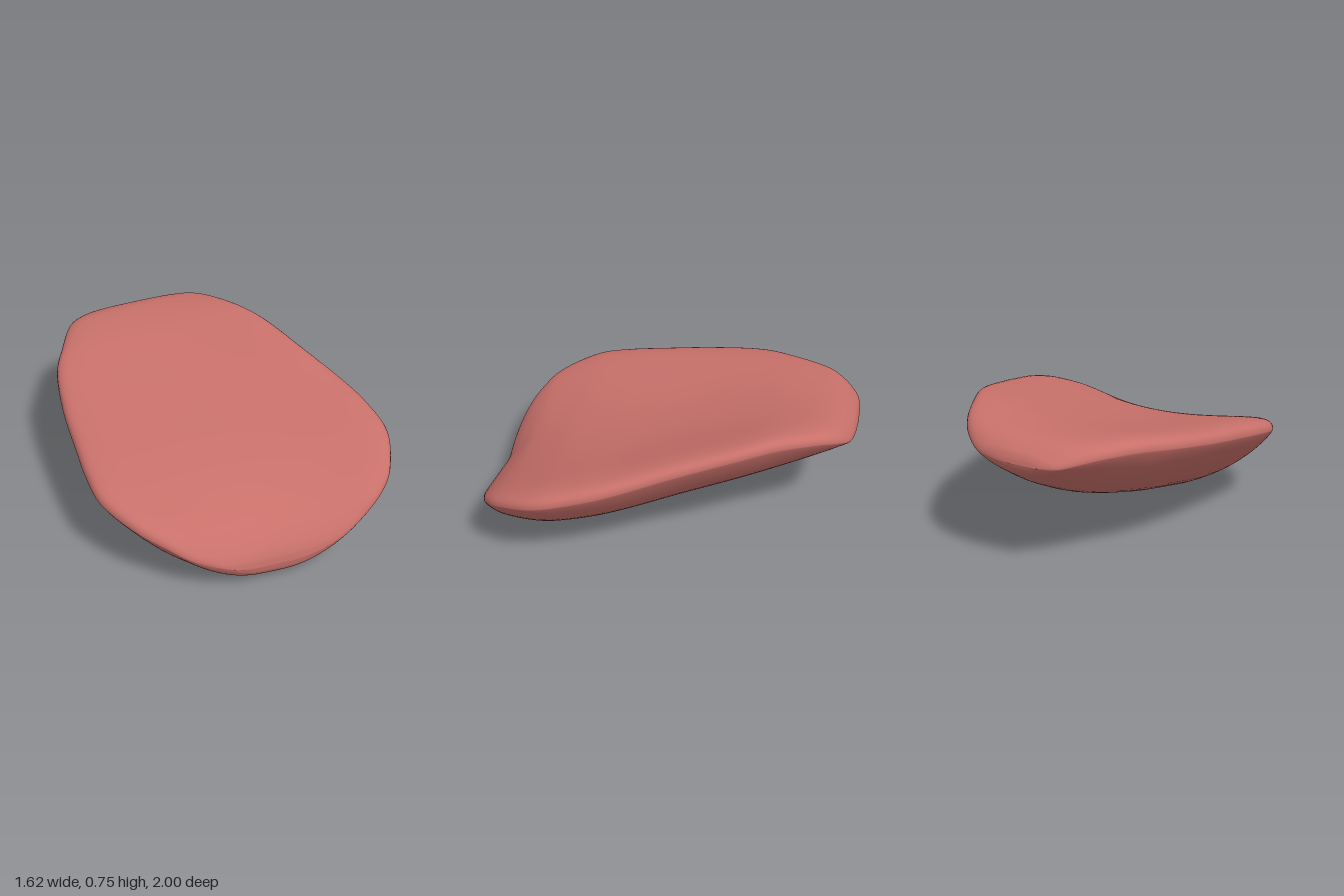
import * as THREE from 'three';
import { mergeVertices } from 'three/addons/utils/BufferGeometryUtils.js';

// Cross-sections from back to front:
// z, left edge x, right edge x, left rim y, right rim y, core top y, core bottom y
const SECTIONS = [
  [-1.0, -0.31, -0.16, 0.58, 0.58, 0.58, 0.58],
  [-0.99, -0.37, -0.04, 0.585, 0.585, 0.612, 0.55],
  [-0.965, -0.43, 0.08, 0.59, 0.605, 0.645, 0.52],
  [-0.9, -0.505, 0.18, 0.61, 0.65, 0.683, 0.477],
  [-0.8, -0.58, 0.265, 0.625, 0.685, 0.698, 0.42],
  [-0.6, -0.67, 0.385, 0.62, 0.705, 0.685, 0.33],
  [-0.4, -0.75, 0.495, 0.6, 0.69, 0.65, 0.26],
  [-0.1, -0.795, 0.615, 0.555, 0.635, 0.592, 0.17],
  [0.2, -0.808, 0.735, 0.51, 0.57, 0.535, 0.088],
  [0.4, -0.812, 0.79, 0.48, 0.53, 0.495, 0.04],
  [0.6, -0.79, 0.806, 0.445, 0.485, 0.443, 0.01],
  [0.8, -0.67, 0.725, 0.39, 0.42, 0.362, 0.002],
  [0.9, -0.55, 0.63, 0.33, 0.36, 0.295, 0.02],
  [0.96, -0.44, 0.5, 0.265, 0.28, 0.232, 0.05],
  [0.99, -0.31, 0.39, 0.205, 0.22, 0.18, 0.085],
  [1.0, -0.21, 0.28, 0.165, 0.175, 0.13, 0.13],
];

// Smooth curve through three chosen columns of the section table
const track = (a, b, c) =>
  new THREE.CatmullRomCurve3(SECTIONS.map((s) => new THREE.Vector3(s[a], s[b], s[c])), false, 'catmullrom', 0.5);

// Skins the cross-sections into one closed, rounded body
function bodyGeometry(rings = 120, sides = 72) {
  const plan = track(0, 1, 2), rim = track(3, 4, 0), core = track(5, 6, 0);
  const positions = [], index = [];
  for (let i = 0; i <= rings; i++) {
    const t = i / rings;
    const p = plan.getPoint(t), r = rim.getPoint(t), c = core.getPoint(t);
    const centre = (p.y + p.z) / 2, half = (p.z - p.y) / 2;
    const middle = (c.x + c.y) / 2, thick = (c.x - c.y) / 2;
    const tilt = (r.y - r.x) / 2, dish = (r.x + r.y) / 2 - middle;
    for (let j = 0; j < sides; j++) {
      const a = (j / sides) * Math.PI * 2;
      const u = Math.cos(a), s = Math.sin(a);
      const x = centre + half * u;
      // full rounded top, straighter flanks below
      const swell = s > 0 ? s ** 0.95 : -(Math.abs(s) ** 1.5);
      const y = middle + tilt * u + dish * u * u + thick * swell;
      // shallow notch in the front edge
      const notch = 0.014 * Math.exp(-((x / 0.12) ** 2)) * THREE.MathUtils.smoothstep(p.x, 0.75, 1);
      positions.push(x, y, p.x - notch);
    }
  }
  for (let i = 0; i < rings; i++) {
    for (let j = 0; j < sides; j++) {
      const k = (j + 1) % sides;
      const a = i * sides + j, b = i * sides + k, c = a + sides, d = b + sides;
      index.push(a, b, c, b, d, c);
    }
  }
  const raw = new THREE.BufferGeometry();
  raw.setAttribute('position', new THREE.Float32BufferAttribute(positions, 3));
  raw.setIndex(index);
  const geometry = mergeVertices(raw, 1e-5);
  geometry.computeVertexNormals();
  return geometry;
}

export function createModel() {
  const group = new THREE.Group();
  group.name = 'dishedLobe';
  const rosyFlesh = new THREE.MeshStandardMaterial({ color: 0xc8706a });
  rosyFlesh.name = 'rosy flesh';
  const body = new THREE.Mesh(bodyGeometry(), rosyFlesh);
  body.name = 'lobeBody';
  group.add(body);
  return group;
}
